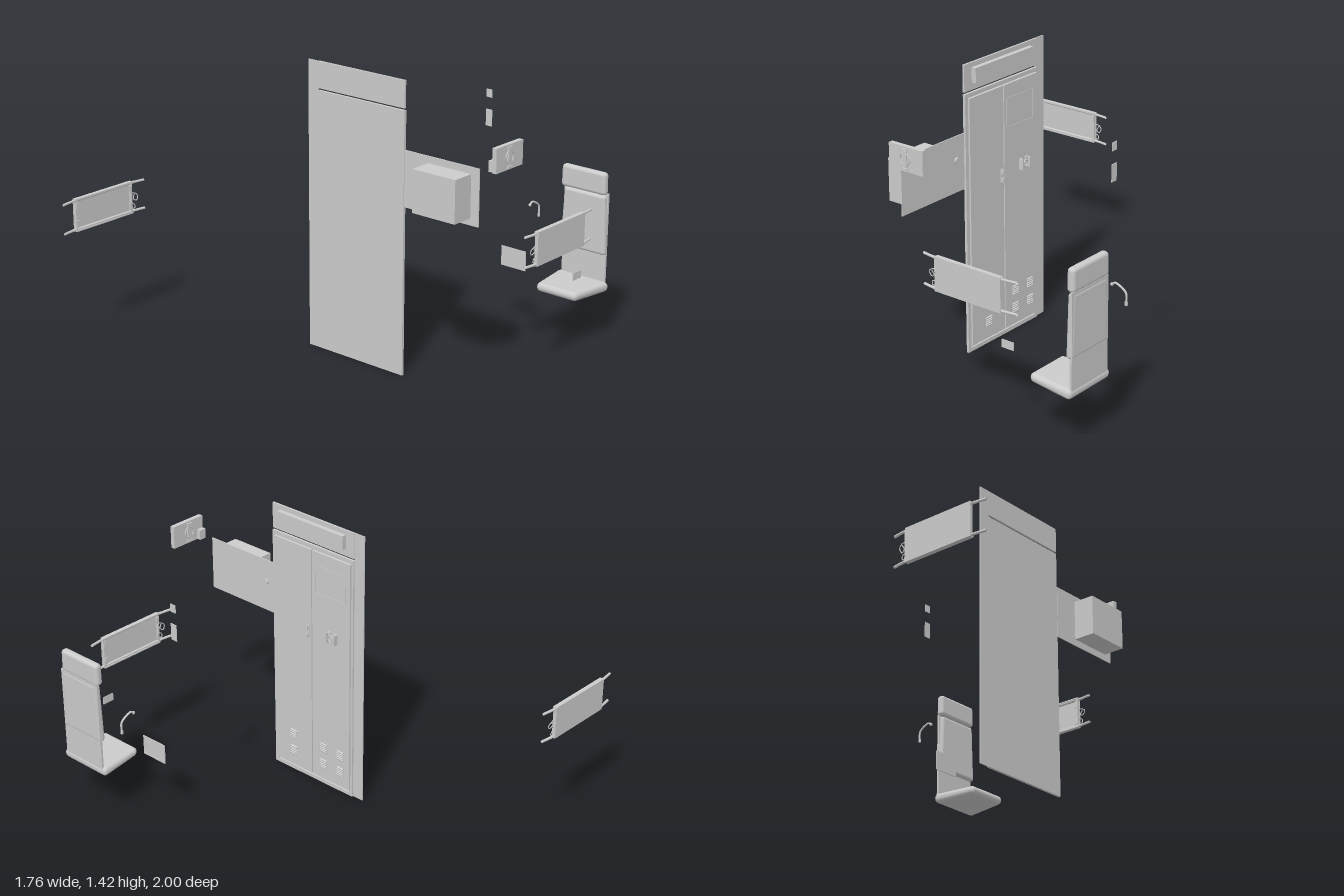
import * as THREE from 'three';
import { RoundedBoxGeometry } from 'three/addons/geometries/RoundedBoxGeometry.js';

const mat = new THREE.MeshStandardMaterial({ color: 0xcccccc, side: THREE.DoubleSide });

function add(parent, name, geo, x = 0, y = 0, z = 0) {
  const m = new THREE.Mesh(geo, mat);
  m.name = name;
  m.position.set(x, y, z);
  parent.add(m);
  return m;
}

// Box given by its lower and upper bounds
function block(parent, name, [x0, x1], [y0, y1], [z0, z1]) {
  return add(parent, name, new THREE.BoxGeometry(x1 - x0, y1 - y0, z1 - z0),
    (x0 + x1) / 2, (y0 + y1) / 2, (z0 + z1) / 2);
}

// Rounded pad by bounds, with an optional rule that reshapes its vertices
function pad(parent, name, [x0, x1], [y0, y1], [z0, z1], r, rule) {
  const g = new RoundedBoxGeometry(x1 - x0, y1 - y0, z1 - z0, 4, r);
  if (rule) {
    const p = g.attributes.position, v = new THREE.Vector3();
    for (let i = 0; i < p.count; i++) {
      rule(v.fromBufferAttribute(p, i));
      p.setXYZ(i, v.x, v.y, v.z);
    }
  }
  return add(parent, name, g, (x0 + x1) / 2, (y0 + y1) / 2, (z0 + z1) / 2);
}

function tube(parent, name, pts, r, seg = 24, sides = 8) {
  const curve = new THREE.CatmullRomCurve3(pts.map(p => new THREE.Vector3(...p)), false, 'centripetal');
  return add(parent, name, new THREE.TubeGeometry(curve, seg, r, sides), 0, 0, 0);
}

function group(parent, name) {
  const g = new THREE.Group();
  g.name = name;
  parent.add(g);
  return g;
}

// Rectangular frame in the z-y plane, facing +x
function frame(parent, name, x, depth, [y0, y1], [z0, z1], w) {
  const f = group(parent, name), X = [x, x + depth];
  block(f, name + 'Bottom', X, [y0, y0 + w], [z0, z1]);
  block(f, name + 'Top', X, [y1 - w, y1], [z0, z1]);
  block(f, name + 'Back', X, [y0 + w, y1 - w], [z0, z0 + w]);
  block(f, name + 'Front', X, [y0 + w, y1 - w], [z1 - w, z1]);
}

function lockerWall(root) {
  const g = group(root, 'lockerWall');
  block(g, 'backSheet', [-0.105, -0.1], [0, 1.285], [-0.12, 0.457]);
  block(g, 'header', [-0.105, -0.095], [1.295, 1.425], [-0.06, 0.457]);
  block(g, 'headerEdgeStrip', [-0.105, -0.1], [1.285, 1.425], [-0.12, -0.06]);
  block(g, 'headerSign', [-0.095, -0.071], [1.33, 1.402], [-0.01, 0.405]);
  frame(g, 'doorFrame', -0.1, 0.008, [0, 1.285], [-0.06, 0.457], 0.02);
  for (const [name, z] of [['wideDoor', [0.199, 0.437]], ['narrowDoor', [-0.048, 0.193]]])
    block(g, name, [-0.1, -0.083], [0.035, 1.263], z);
  frame(g, 'doorPanelFrame', -0.084, 0.003, [1.05, 1.195], [-0.02, 0.175], 0.003);

  // Louvred vents
  for (const z of [0.32, 0.12, 0.01]) for (const y of [0.12, 0.212]) {
    const v = group(g, 'vent');
    for (let i = 0; i < 5; i++) {
      const s = add(v, 'ventSlat', new THREE.BoxGeometry(0.008, 0.006, 0.042), -0.081, y - 0.02 + i * 0.01, z);
      s.rotation.z = -0.5;
    }
  }

  // Turn latch on the narrow door
  const latch = group(g, 'doorLatch');
  for (const s of [-1, 1]) {
    block(latch, 'latchBracket', [-0.083, -0.058], [0.82, 0.873], [0.058 + s * 0.026 - 0.003, 0.058 + s * 0.026 + 0.003]);
    block(latch, 'latchFoot', [-0.083, -0.074], [0.82, 0.873], [0.058 + s * 0.02 - 0.007, 0.058 + s * 0.02 + 0.007]);
  }
  add(latch, 'latchRing', new THREE.TorusGeometry(0.016, 0.004, 8, 20), -0.066, 0.846, 0.058).rotation.y = Math.PI / 2;
  add(latch, 'latchHub', new THREE.CylinderGeometry(0.007, 0.007, 0.02, 12), -0.074, 0.846, 0.058).rotation.z = Math.PI / 2;

  // Door pull at the seam
  const pull = group(g, 'doorPull');
  block(pull, 'pullPlate', [-0.083, -0.079], [0.795, 0.862], [0.212, 0.222]);
  for (const y of [0.808, 0.848]) block(pull, 'pullGrip', [-0.08, -0.067], [y - 0.01, y + 0.01], [0.213, 0.221]);
}

function sideBox(root) {
  const g = group(root, 'wallBox');
  block(g, 'boxDoor', [-0.105, -0.1], [0.832, 1.103], [0.46, 0.882]);
  block(g, 'boxBody', [-0.217, -0.105], [0.865, 1.07], [0.597, 0.837]);
  const k = add(g, 'boxKnob', new THREE.CylinderGeometry(0.015, 0.015, 0.012, 20), -0.097, 0.987, 0.512);
  k.rotation.z = Math.PI / 2;
}

function equipmentCase(root) {
  const g = group(root, 'equipmentCase');
  block(g, 'caseBody', [-0.093, 0.1], [1.093, 1.208], [0.94, 0.963]);
  block(g, 'caseSideUnit', [-0.09, -0.053], [1.095, 1.145], [0.918, 0.94]);
  // Clasp repeated on both faces
  for (const z of [0.937, 0.965]) {
    add(g, 'claspRing', new THREE.TorusGeometry(0.029, 0.004, 6, 8), 0, 1.15, z).rotation.z = Math.PI / 8;
    block(g, 'claspBar', [-0.012, 0.012], [1.112, 1.188], [z - 0.004, z + 0.004]);
    for (const y of [1.105, 1.194]) block(g, 'claspEnd', [-0.016, 0.016], [y - 0.005, y + 0.005], [z - 0.004, z + 0.004]);
  }
}

// Folded stretcher, its cloth facing +z
function stretcher(root, name, x, y, z, turn) {
  const g = group(root, name);
  g.position.set(x, y, z);
  g.rotation.y = turn;
  block(g, 'cloth', [-0.184, 0.184], [-0.08, 0.08], [0.007, 0.011]);
  for (const s of [-1, 1]) {
    block(g, 'clothHem', [-0.184, 0.184], [s * 0.079 - 0.003, s * 0.079 + 0.003], [-0.011, 0.011]);
    const rail = add(g, 'rail', new THREE.CylinderGeometry(0.007, 0.007, 0.4, 10), 0, s * 0.073, 0);
    rail.rotation.z = Math.PI / 2;
    for (const e of [-1, 1]) {
      tube(g, 'handle', [[e * 0.195, s * 0.073, 0], [e * 0.22, s * 0.073, -0.003], [e * 0.259, s * 0.073, -0.009]], 0.0065, 8);
      block(g, 'railBracket', [e * 0.172 - 0.008, e * 0.172 + 0.008], [s * 0.045 - 0.018, s * 0.045 + 0.018], [-0.01, -0.004]);
    }
  }
  for (const e of [-1, 1]) block(g, 'crossBar', [e * 0.178 - 0.004, e * 0.178 + 0.004], [-0.072, 0.072], [-0.008, 0.006]);
  // Hanging strap loops
  tube(g, 'strap', [[-0.184, 0.02, 0], [-0.205, 0.015, 0.004], [-0.222, 0, 0], [-0.212, -0.022, -0.004],
    [-0.195, -0.012, 0], [-0.205, 0.01, 0.004]], 0.0025, 32, 6);
  tube(g, 'strapTail', [[-0.184, -0.035, 0], [-0.2, -0.04, 0.003], [-0.205, -0.058, 0], [-0.19, -0.062, 0]], 0.0025, 20, 6);
}

function foldingSeat(root) {
  const g = group(root, 'foldingSeat');
  block(g, 'seatBackPlate', [0.862, 0.873], [0.285, 0.75], [0.668, 0.92]);
  pad(g, 'headrest', [0.836, 0.876], [0.744, 0.856], [0.662, 0.915], 0.017,
    v => { v.z *= 1 - 0.3 * Math.max(0, v.y); });
  pad(g, 'backrest', [0.841, 0.875], [0.443, 0.741], [0.665, 0.925], 0.015,
    v => { v.z *= 0.95 - 0.35 * v.y; });
  // Cushion narrows towards its front edge at -x
  pad(g, 'seatCushion', [0.633, 0.876], [0.256, 0.306], [0.646, 0.941], 0.022, v => {
    const t = (v.x + 0.1215) / 0.243;
    v.z *= 0.77 + 0.23 * t;
    if (v.y < 0) v.y += 0.006 * (1 - t);
  });
}

function smallFittings(root) {
  // Grab hook
  const h = group(root, 'grabHook');
  tube(h, 'hookBar', [[0.785, 0.627, 0.522], [0.802, 0.638, 0.522], [0.845, 0.62, 0.522], [0.861, 0.603, 0.522], [0.862, 0.552, 0.522]], 0.005, 32);
  add(h, 'hookKnob', new THREE.SphereGeometry(0.008, 12, 8), 0.785, 0.627, 0.522);
  add(h, 'hookFoot', new THREE.CylinderGeometry(0.007, 0.007, 0.016, 12), 0.862, 0.556, 0.522);

  // Framed panel
  const p = group(root, 'framedPanel');
  block(p, 'panelSheet', [0.671, 0.674], [0.33, 0.43], [0.442, 0.587]);
  frame(p, 'panelBorder', 0.674, 0.002, [0.33, 0.43], [0.442, 0.587], 0.01);

  // Small plates
  const upper = group(root, 'upperPlate');
  block(upper, 'plate', [0.662, 0.665], [1.165, 1.205], [0.335, 0.368]);
  add(upper, 'plateDial', new THREE.TorusGeometry(0.01, 0.0015, 6, 16), 0.665, 1.187, 0.352).rotation.y = Math.PI / 2;
  block(root, 'lowerPlate', [0.662, 0.665], [1.022, 1.105], [0.334, 0.37]);
  const tag = group(root, 'tag');
  block(tag, 'tagSheet', [0.53, 0.594], [0.418, 0.456], [0.96, 0.964]);
  add(tag, 'tagStud', new THREE.SphereGeometry(0.003, 8, 6), 0.573, 0.437, 0.964);
}

export function createModel() {
  const root = new THREE.Group();
  root.name = 'cabinEquipment';
  lockerWall(root);
  sideBox(root);
  equipmentCase(root);
  stretcher(root, 'frontStretcher', 0.37, 0.677, 0.989, 0);
  stretcher(root, 'rearStretcher', -0.625, 0.643, -0.989, Math.PI);
  foldingSeat(root);
  smallFittings(root);
  return root;
}
